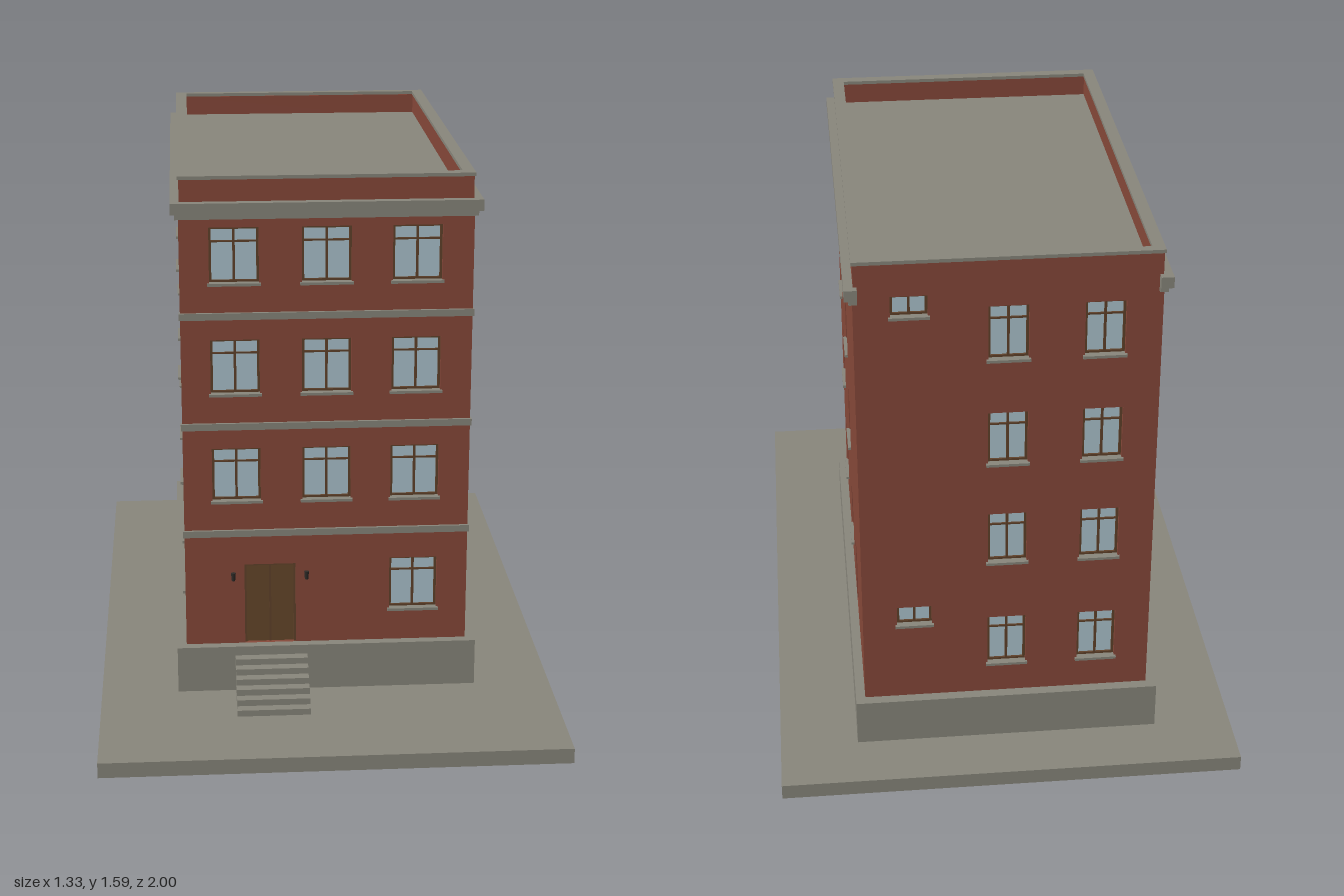
import * as THREE from 'three';

const mat = (name, color) => Object.assign(new THREE.MeshStandardMaterial({ color }), { name });
const brick = mat('brick', 0x88493a);
const stone = mat('stone', 0x89877c);
const frameWood = mat('frame wood', 0x61422a);
const doorWood = mat('door wood', 0x66482a);
const glass = mat('window glass', 0xaec6d0);
const lampMetal = mat('lamp metal', 0x2e2b28);

// Box given by its minimum and maximum on each axis
function box(parent, name, material, x0, x1, y0, y1, z0, z1) {
  const mesh = new THREE.Mesh(new THREE.BoxGeometry(x1 - x0, y1 - y0, z1 - z0), material);
  mesh.position.set((x0 + x1) / 2, (y0 + y1) / 2, (z0 + z1) / 2);
  mesh.name = name;
  parent.add(mesh);
  return mesh;
}

// Rectangular ring, lying flat
function ring(parent, name, material, outer, inner, y0, y1) {
  const rect = (Type, [x, z0, z1]) => new Type([[-x, -z1], [x, -z1], [x, -z0], [-x, -z0]]
    .map(p => new THREE.Vector2(...p)));
  const shape = rect(THREE.Shape, outer);
  shape.holes.push(rect(THREE.Path, inner));
  const geo = new THREE.ExtrudeGeometry(shape, { depth: y1 - y0, bevelEnabled: false });
  geo.rotateX(-Math.PI / 2);
  const mesh = new THREE.Mesh(geo, material);
  mesh.position.y = y0;
  mesh.name = name;
  parent.add(mesh);
}

const X = 0.413, FRONT = 0.545, BACK = -0.795, MID = (FRONT + BACK) / 2;
const WALL_BASE = 0.185, WALL_TOP = 1.5, T = 0.03;
const FLOORS = [0.285, 0.635, 0.96, 1.285];

// Window in wall space: recessed glass, frame, mullion, transom and sill
function addWindow(wall, { x, y, w, h, transom }) {
  const g = new THREE.Group();
  g.name = 'window';
  g.position.set(x, y, 0);
  const a = w / 2, f = 0.007, zb = -0.026, zf = -0.012;
  box(g, 'pane', glass, -a, a, 0, h, zb, -0.018);
  for (const [p, q] of [[-a, -a + f], [-f / 2, f / 2], [a - f, a]])
    box(g, 'frameUpright', frameWood, p, q, 0, h, zb, zf);
  for (const p of [0, h - f]) box(g, 'frameRail', frameWood, -a, a, p, p + f, zb, zf);
  if (transom) box(g, 'transom', frameWood, -a, a, h * 0.72, h * 0.72 + 0.005, zb, zf - 0.001);
  box(g, 'sill', stone, -a - 0.005, a + 0.005, -0.007, 0.001, -0.02, 0.009);
  wall.add(g);
}

// Door in wall space with one or two leaves
function addDoor(wall, { x, y, w, h, leaves }) {
  const g = new THREE.Group();
  g.name = 'door';
  g.position.set(x, y, 0);
  const a = w / 2, f = 0.006;
  box(g, 'doorLeaf', doorWood, -a, a, 0, h, -0.028, -0.012);
  for (const s of [-1, 1])
    box(g, 'doorJamb', frameWood, Math.min(s * a, s * (a - f)), Math.max(s * a, s * (a - f)), 0, h, -0.028, -0.006);
  box(g, 'doorHead', frameWood, -a, a, h - f, h, -0.028, -0.006);
  if (leaves === 2) box(g, 'doorSeam', frameWood, -0.003, 0.003, 0, h - f, -0.02, -0.009);
  wall.add(g);
}

// Wall panel facing local +z, pierced by its openings
function addWall(parent, name, half, px, pz, turn, openings) {
  const wall = new THREE.Group();
  wall.name = name;
  wall.position.set(px, 0, pz);
  wall.rotation.y = turn;
  const rect = (Type, x0, x1, y0, y1) => new Type([[x0, y0], [x1, y0], [x1, y1], [x0, y1]]
    .map(p => new THREE.Vector2(...p)));
  const shape = rect(THREE.Shape, -half, half, WALL_BASE - 0.01, WALL_TOP);
  for (const o of openings) shape.holes.push(rect(THREE.Path, o.x - o.w / 2, o.x + o.w / 2, o.y, o.y + o.h));
  const geo = new THREE.ExtrudeGeometry(shape, { depth: T, bevelEnabled: false });
  geo.translate(0, 0, -T);
  const panel = new THREE.Mesh(geo, brick);
  panel.name = name + 'Brick';
  wall.add(panel);
  for (const o of openings) (o.leaves ? addDoor : addWindow)(wall, o);
  parent.add(wall);
  return wall;
}

const column = (x, w, floors = FLOORS) => floors.map(y => ({ x, y, w, h: 0.16, transom: true }));

export function createModel() {
  const model = new THREE.Group();
  model.name = 'apartmentBuilding';

  // Ground and plinth
  box(model, 'groundSlab', stone, -0.665, 0.665, 0, 0.045, -1, 1);
  box(model, 'plinth', stone, -0.44, 0.44, 0.045, WALL_BASE, -0.825, 0.572);

  // Walls
  const half = (FRONT - BACK) / 2;
  const front = addWall(model, 'frontWall', X - T, 0, FRONT, 0, [
    ...column(-0.26, 0.14, FLOORS.slice(1)), ...column(0, 0.14, FLOORS.slice(1)), ...column(0.255, 0.14),
    { x: -0.165, y: WALL_BASE, w: 0.15, h: 0.25, leaves: 2 },
  ]);
  addWall(model, 'backWall', X - T, 0, BACK, Math.PI, [
    ...column(0, 0.11), ...column(0.26, 0.11),
    ...[0.435, 1.425].map(y => ({ x: -0.265, y, w: 0.1, h: 0.06 })),
  ]);
  addWall(model, 'leftWall', half, X, MID, Math.PI / 2, [
    ...column(-0.45, 0.11), ...column(-0.055, 0.11),
    { x: 0.22, y: WALL_BASE, w: 0.11, h: 0.23, leaves: 1 },
  ]);
  addWall(model, 'rightWall', half, -X, MID, -Math.PI / 2,
    [-0.475, 0.055, 0.45].flatMap(x => column(x, 0.11)));

  // String courses across the front
  for (const y of [0.525, 0.853, 1.18])
    box(model, 'stringCourse', stone, -0.417, 0.417, y, y + 0.02, FRONT - 0.01, FRONT + 0.008);

  // Cornice on the front and sides, with short returns at the back
  for (const [name, out, y0, y1] of [['corniceMoulding', 0.01, 1.47, 1.486], ['cornice', 0.022, 1.486, 1.518]]) {
    const e = X + out;
    box(model, name, stone, -e, e, y0, y1, FRONT - 0.01, FRONT + out);
    for (const s of [-1, 1]) {
      const a = s * 0.4, b = s * e;
      box(model, name + 'Side', stone, Math.min(a, b), Math.max(a, b), y0, y1, BACK - out, FRONT);
    }
  }

  // Flat roof, parapet and coping
  box(model, 'roof', stone, -0.39, 0.39, 1.49, 1.52, BACK + 0.01, FRONT - 0.01);
  ring(model, 'parapet', brick, [0.41, BACK, FRONT - 0.003], [0.382, BACK + 0.025, FRONT - 0.032], WALL_TOP, 1.58);
  ring(model, 'coping', stone, [0.414, BACK - 0.003, FRONT], [0.38, BACK + 0.023, FRONT - 0.034], 1.58, 1.59);

  // Front steps
  const steps = 6, run = 0.173 / steps, rise = 0.112 / steps;
  for (let i = 0; i < steps; i++)
    box(model, 'step', stone, -0.27, -0.058, 0.045, 0.045 + rise * (i + 1), 0.572, 0.745 - run * i);

  // Lamps beside the front door
  for (const x of [-0.273, -0.059]) {
    box(front, 'lampBracket', lampMetal, x - 0.003, x + 0.003, 0.397, 0.405, -0.002, 0.01);
    const lamp = new THREE.Mesh(new THREE.CylinderGeometry(0.007, 0.005, 0.024, 8), lampMetal);
    lamp.name = 'lamp';
    lamp.position.set(x, 0.402, 0.013);
    front.add(lamp);
  }
  return model;
}
